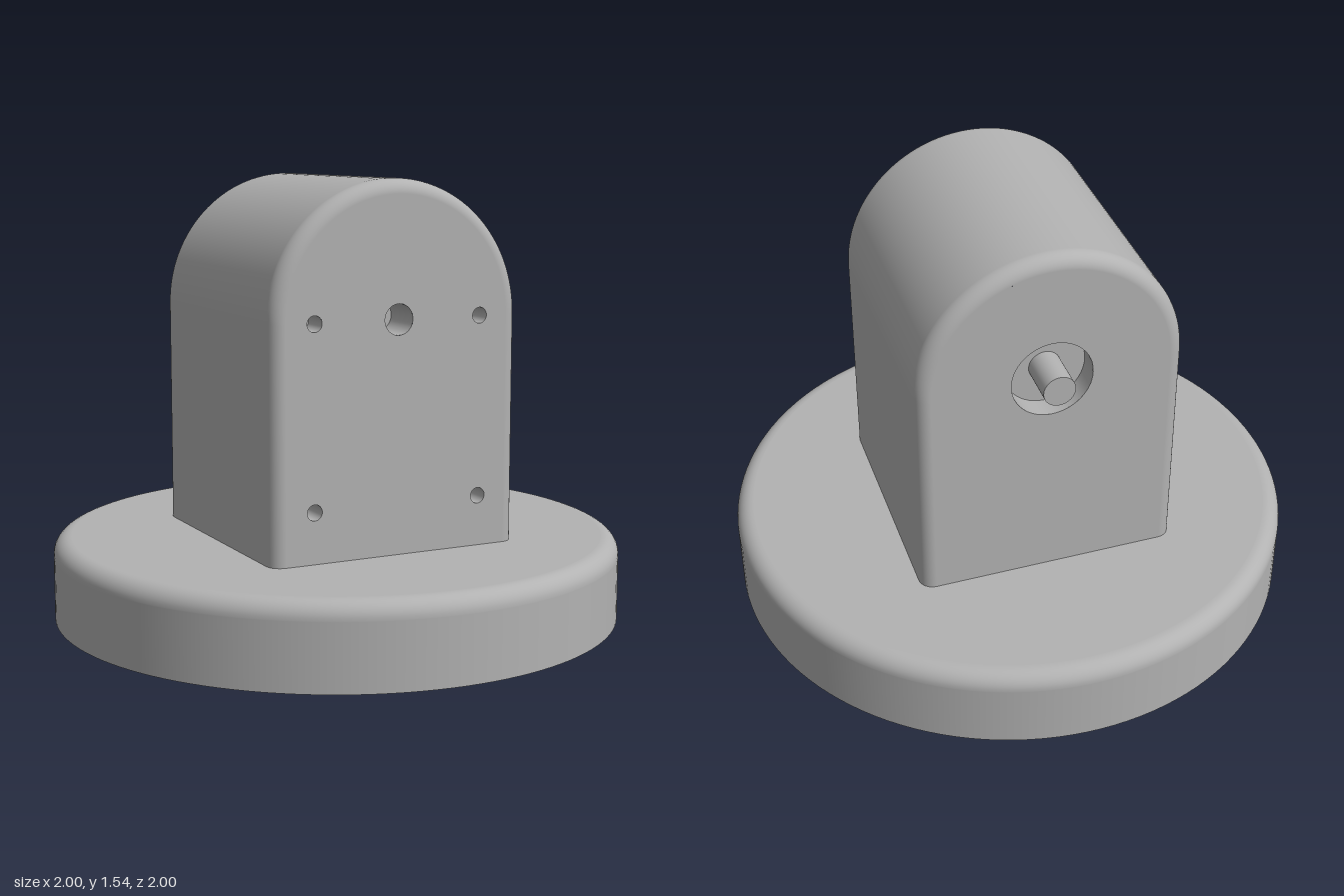
import * as THREE from 'three';

const HALF = 0.46;      // half width and half depth of the housing
const FILLET = 0.05;    // rounding of the housing edges
const AXIS_Y = 1.08;    // height of the shaft and arch centre
const FOOT_Y = 0.27;    // housing starts just inside the base plate
const BASE_TOP = 0.29, BASE_FILLET = 0.06;
const CEILING = 0.19, INNER_R = 0.945;

const V2 = (x, y) => new THREE.Vector2(x, y);

export function createModel() {
  const grey = new THREE.MeshStandardMaterial({ color: 0xb2b2b2 });
  grey.name = 'plain grey';
  const model = new THREE.Group();
  model.name = 'shaftHousingOnRoundBase';

  const add = (parent, name, geometry) => {
    const mesh = new THREE.Mesh(geometry, grey);
    mesh.name = name;
    parent.add(mesh);
    return mesh;
  };

  // Flat plate facing +z with round openings, each leading to a blind pocket
  function drilledPlate(name, shape, holes) {
    const group = new THREE.Group();
    group.name = name;
    for (const { x, y, r, depth } of holes) {
      shape.holes.push(new THREE.Path().absarc(x, y, r, 0, Math.PI * 2, true));
      const wall = new THREE.LatheGeometry([V2(r, 0), V2(r, -depth)], 48);
      add(group, 'holeWall', wall.rotateX(Math.PI / 2).translate(x, y, 0));
      add(group, 'holeFloor', new THREE.CircleGeometry(r, 48).translate(x, y, -depth));
    }
    add(group, 'plate', new THREE.ShapeGeometry(shape, 48));
    model.add(group);
    return group;
  }

  // Base: rounded outer shell, hollow underside
  const outer = [V2(1, 0), V2(1, BASE_TOP - BASE_FILLET - 0.003)];
  for (let i = 0; i <= 10; i++) {
    const a = (i / 10) * Math.PI / 2;
    outer.push(V2(1 - BASE_FILLET + BASE_FILLET * Math.cos(a),
      BASE_TOP - BASE_FILLET + BASE_FILLET * Math.sin(a)));
  }
  outer.push(V2(1 - BASE_FILLET - 0.003, BASE_TOP), V2(0, BASE_TOP));
  add(model, 'baseShell', new THREE.LatheGeometry(outer, 128));
  add(model, 'baseRim', new THREE.RingGeometry(INNER_R, 1, 128).rotateX(Math.PI / 2));
  add(model, 'baseInnerWall', new THREE.LatheGeometry([V2(INNER_R, CEILING), V2(INNER_R, 0)], 128));

  // Underside with mounting holes and a cable opening
  const disc = new THREE.Shape().absarc(0, 0, INNER_R, 0, Math.PI * 2, false);
  const underside = drilledPlate('baseUnderside', disc, [
    { x: 0, y: 0, r: 0.033, depth: 0.09 },
    { x: 0, y: 0.29, r: 0.095, depth: 0.095 },
    ...[[0.15, 0], [-0.15, 0], [0, 0.15], [0, -0.15]].map(([x, y]) => ({ x, y, r: 0.021, depth: 0.09 })),
  ]);
  underside.rotation.x = Math.PI / 2;
  underside.position.y = CEILING;

  // Housing skin: arch outline swept from front to back with rounded ends
  const outline = [{ x: 1, foot: true, t: 0 }];
  const ARC = 64;
  for (let i = 0; i <= ARC; i++) outline.push({ t: (i / ARC) * Math.PI });
  outline.push({ foot: true, t: Math.PI });

  const stations = [];
  const STEPS = 8;
  for (let i = 0; i <= STEPS; i++) stations.push(Math.PI / 2 * (1 - i / STEPS));
  for (let i = 0; i <= STEPS; i++) stations.push(-Math.PI / 2 * i / STEPS);

  const pos = [], nor = [], idx = [];
  stations.forEach((a, j) => {
    const r = HALF - FILLET + FILLET * Math.cos(a);
    const z = (j <= STEPS ? 1 : -1) * (HALF - FILLET) + FILLET * Math.sin(a);
    outline.forEach(({ t, foot }, i) => {
      pos.push(r * Math.cos(t), foot ? FOOT_Y : AXIS_Y + r * Math.sin(t), z);
      nor.push(Math.cos(t) * Math.cos(a), Math.sin(t) * Math.cos(a), Math.sin(a));
      if (j === stations.length - 1 || i === outline.length - 1) return;
      const p = j * outline.length + i, q = p + outline.length;
      idx.push(p, q, p + 1, p + 1, q, q + 1);
    });
  });
  const skin = new THREE.BufferGeometry();
  skin.setAttribute('position', new THREE.Float32BufferAttribute(pos, 3));
  skin.setAttribute('normal', new THREE.Float32BufferAttribute(nor, 3));
  skin.setIndex(idx);
  add(model, 'housingSkin', skin);

  // Housing end faces
  const archFace = () => {
    const w = HALF - FILLET;
    return new THREE.Shape().moveTo(-w, FOOT_Y).lineTo(w, FOOT_Y).lineTo(w, AXIS_Y)
      .absarc(0, AXIS_Y, w, 0, Math.PI, false).lineTo(-w, FOOT_Y);
  };
  const screws = [];
  for (const x of [-0.308, 0.308])
    for (const y of [0.463, AXIS_Y]) screws.push({ x, y, r: 0.027, depth: 0.1 });
  const front = drilledPlate('housingFront', archFace(),
    [{ x: 0, y: AXIS_Y, r: 0.052, depth: 0.15 }, ...screws]);
  front.position.z = HALF;

  const back = drilledPlate('housingBack', archFace(), [{ x: 0, y: AXIS_Y, r: 0.14, depth: 0.08 }]);
  back.rotation.y = Math.PI;
  back.position.z = -HALF;

  // Shaft standing out of the rear recess
  const shaft = add(model, 'shaft', new THREE.CylinderGeometry(0.055, 0.055, 0.15, 48).rotateX(Math.PI / 2));
  shaft.position.set(0, AXIS_Y, -0.455);

  return model;
}
